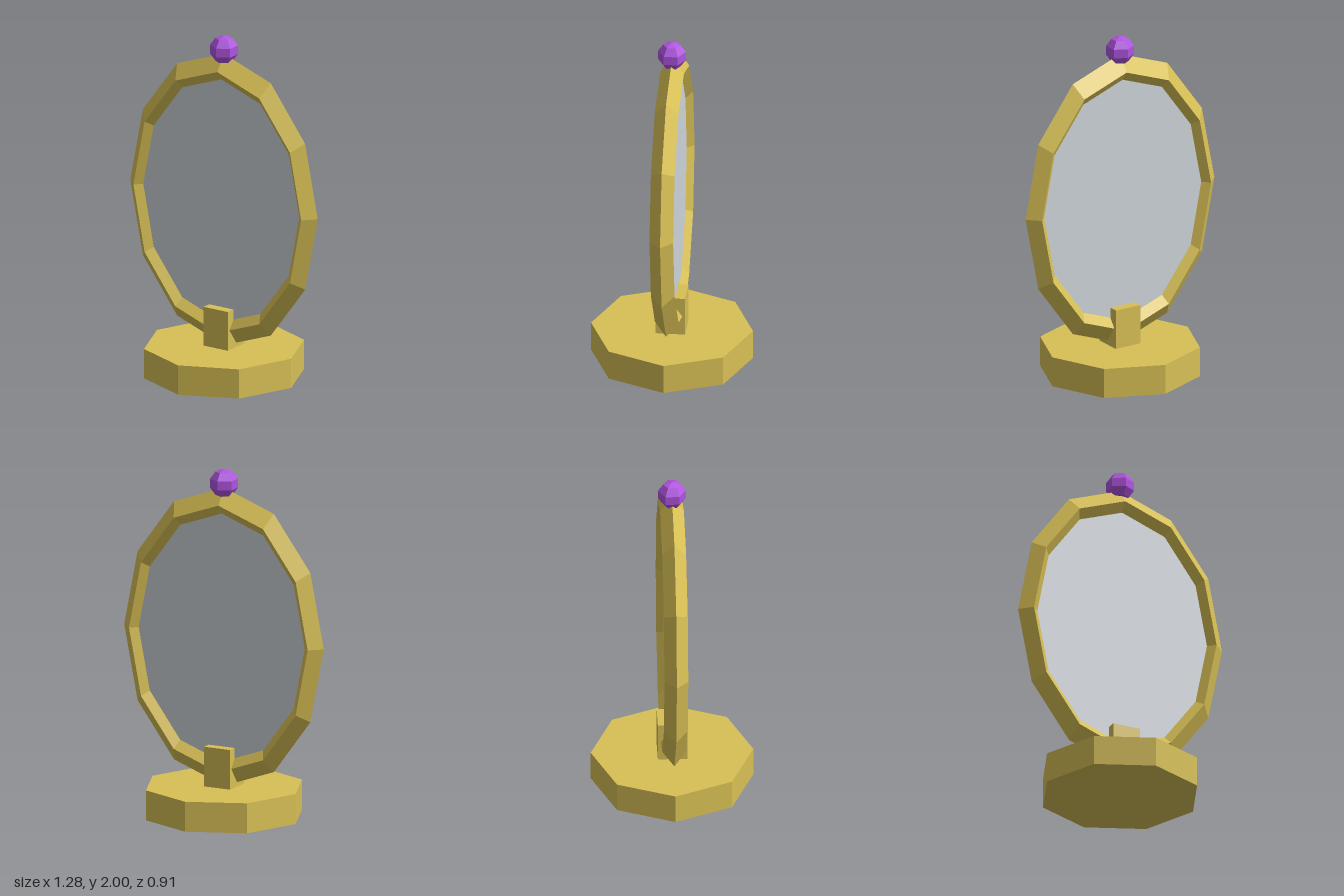
import * as THREE from 'three';

const material = (color) => new THREE.MeshStandardMaterial({ color, flatShading: true });

export function createModel() {
  const group = new THREE.Group();
  const gold = material(0xd8c055);
  const glass = material(0xd0d6dc);
  const purple = material(0xb055e0);

  const add = (name, geometry, mat, y) => {
    const mesh = new THREE.Mesh(geometry, mat);
    mesh.name = name;
    mesh.position.y = y;
    group.add(mesh);
    return mesh;
  };

  const centreY = 1.03;
  const stretch = 1.35; // oval height over width
  const ringRadius = 0.571;
  const tube = 0.067;

  // Octagonal foot and the short post that grips the frame
  add('base', new THREE.CylinderGeometry(0.457, 0.457, 0.173, 8), gold, 0.0865);
  add('post', new THREE.BoxGeometry(0.166, 0.23, 0.166), gold, 0.287);

  // Twelve-sided oval frame with a diamond section
  const frame = new THREE.TorusGeometry(ringRadius, tube, 4, 12).scale(1, stretch, 1);
  add('frame', frame, gold, centreY);

  // Glass pane, its rim buried in the frame
  const pane = new THREE.CylinderGeometry(0.535, 0.535, 0.054, 12)
    .rotateX(Math.PI / 2)
    .scale(1, stretch, 1);
  add('mirrorGlass', pane, glass, centreY);

  // Faceted gem on top
  add('gem', new THREE.SphereGeometry(0.083, 6, 5).rotateY(Math.PI / 2), purple, 1.917);

  return group;
}
